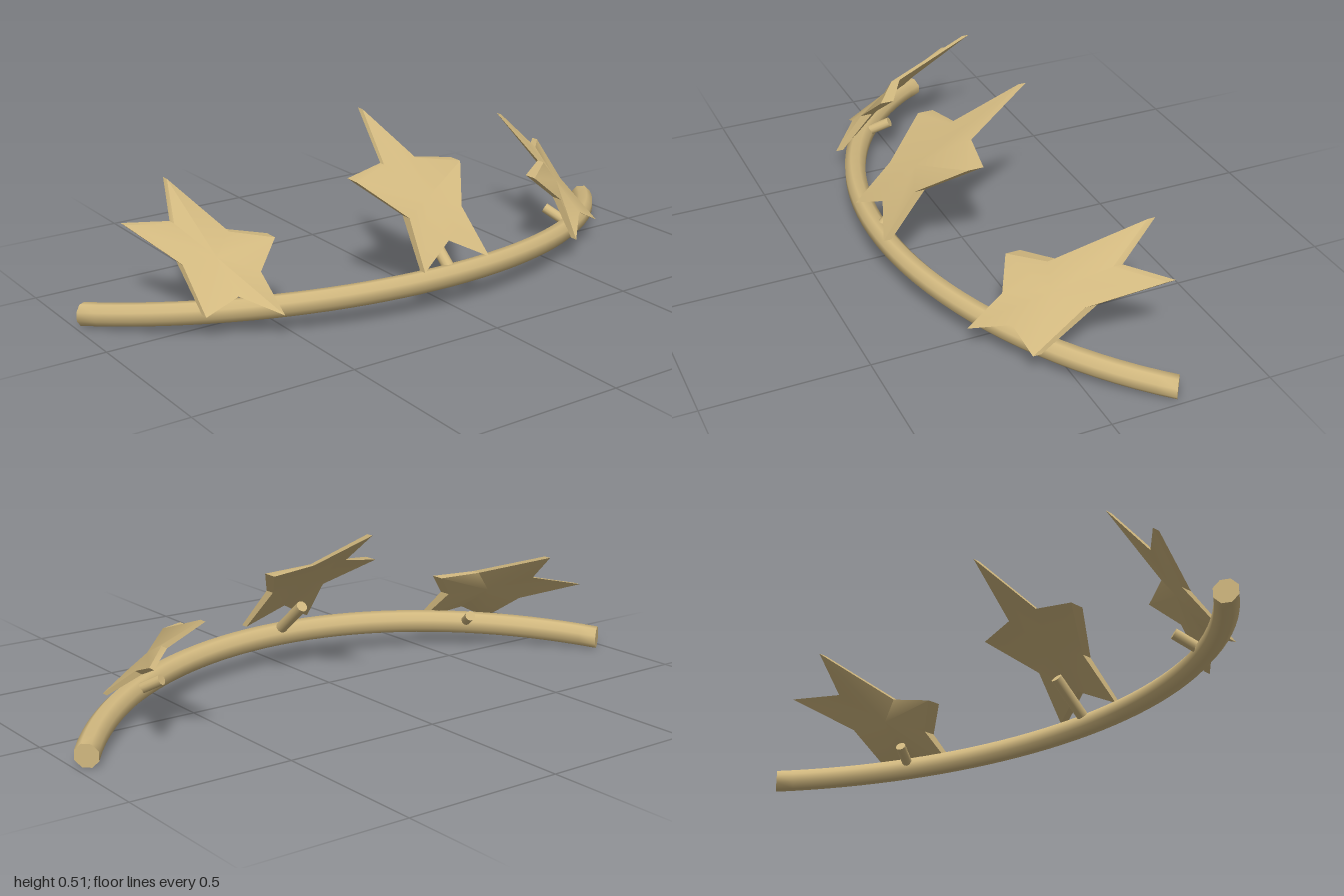
import * as THREE from 'three';
import { toCreasedNormals } from 'three/addons/utils/BufferGeometryUtils.js';

const material = new THREE.MeshStandardMaterial({ color: 0xd1b87f });

// Circular arc of the headband, tilted down towards the back
const ARC = 1.19, FRONT_Z = 0.28, FRONT_Y = 0.097, TILT = 0.124;
const HALF_ANGLE = Math.asin(0.97 / ARC);

function addMesh(parent, name, geometry) {
  const mesh = new THREE.Mesh(geometry, material);
  mesh.name = name;
  parent.add(mesh);
  return mesh;
}

// Eight-sided rod bent along the arc
function bandGeometry() {
  const geo = new THREE.CylinderGeometry(0.036, 0.036, 2 * HALF_ANGLE, 8, 40, false, Math.PI / 8);
  const p = geo.attributes.position;
  for (let i = 0; i < p.count; i++) {
    const rho = ARC + p.getX(i), a = p.getY(i), up = p.getZ(i);
    const z = FRONT_Z - ARC + rho * Math.cos(a);
    p.setXYZ(i, rho * Math.sin(a), FRONT_Y + up - (FRONT_Z - z) * TILT, z);
  }
  return toCreasedNormals(geo, 1.0);
}

// Five-pointed star swept back in z; corners run counter-clockwise from the top tip
function starGeometry(cx, cy, outer, inner, frontZ, centreZ, depths, centreDepth) {
  const pos = [], index = [];
  for (const back of [0, 1]) {
    for (let i = 0; i < 10; i++) {
      const a = Math.PI / 2 + i * Math.PI / 5, r = i % 2 ? inner : outer;
      pos.push(cx + r * Math.cos(a), cy + r * Math.sin(a), frontZ[i] - back * depths[i]);
    }
    pos.push(cx, cy, centreZ - back * centreDepth);
  }
  for (let i = 0; i < 10; i++) {
    const j = (i + 1) % 10, bi = i + 11, bj = j + 11;
    index.push(10, i, j, 21, bj, bi, i, bi, bj, i, bj, j);
  }
  const geo = new THREE.BufferGeometry();
  geo.setAttribute('position', new THREE.Float32BufferAttribute(pos, 3));
  geo.setIndex(index);
  return toCreasedNormals(geo, 0.6);
}

// Short round peg between two points
function addPost(parent, name, from, to, radius) {
  const a = new THREE.Vector3(...from), b = new THREE.Vector3(...to);
  const dir = b.clone().sub(a);
  const post = addMesh(parent, name, new THREE.CylinderGeometry(radius, radius, dir.length(), 12));
  post.position.copy(a).add(b).multiplyScalar(0.5);
  post.quaternion.setFromUnitVectors(new THREE.Vector3(0, 1, 0), dir.normalize());
}

export function createModel() {
  const group = new THREE.Group();
  group.name = 'starTiara';

  addMesh(group, 'band', bandGeometry());

  // Large star in the middle
  addMesh(group, 'centreStar', starGeometry(0, 0.305, 0.205, 0.103,
    [-0.19, 0.015, 0.065, 0.2, 0.31, 0.265, 0.31, 0.2, 0.065, 0.015], 0.155,
    [0.025, 0.02, 0.05, 0.035, 0.025, 0.025, 0.025, 0.035, 0.05, 0.02], 0.04));
  addPost(group, 'centrePost', [0, 0.11, 0.275], [0, 0.218, 0.145], 0.0185);

  // Smaller stars on each side, turned outwards with the band
  const sideZ = [-0.285, 0, 0.08, 0.125, 0.225, 0.13, 0.11, -0.055, -0.27, -0.155];
  const sideDepth = [0.025, 0.03, 0.045, 0.04, 0.025, 0.03, 0.025, 0.04, 0.025, 0.03];
  for (const s of [1, -1]) {
    const flip = (list) => list.map((_, i) => list[s > 0 ? i : (10 - i) % 10]);
    const side = s > 0 ? 'left' : 'right';
    addMesh(group, side + 'Star', starGeometry(s * 0.645, 0.21, 0.162, 0.082,
      flip(sideZ), 0.01, flip(sideDepth), 0.035));
    addPost(group, side + 'Post', [s * 0.645, 0.073, 0.09], [s * 0.6, 0.12, 0.01], 0.0165);
  }
  return group;
}
